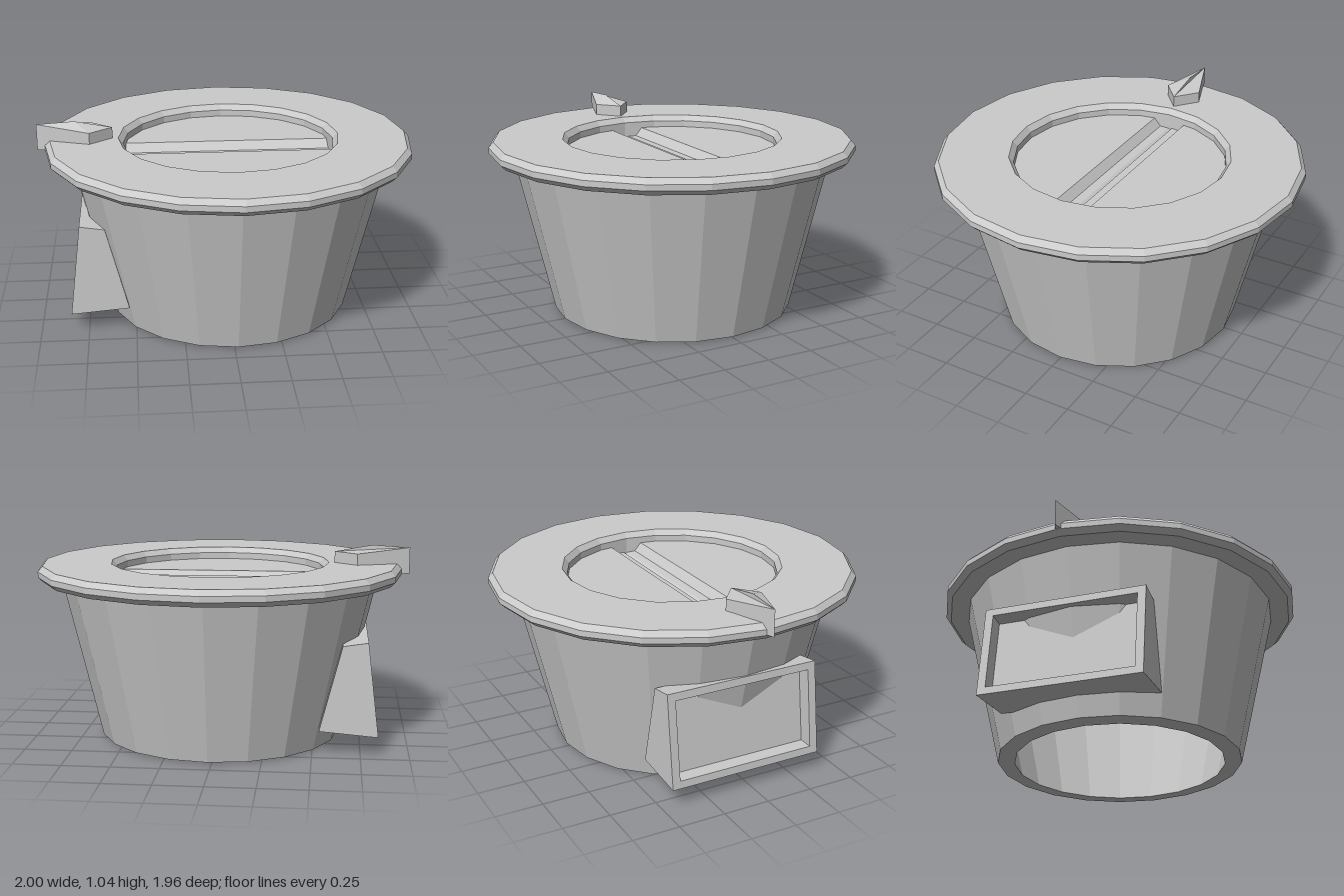
import * as THREE from 'three';

const SIDES = 20;
const CENTRE_X = 0.02;

function material() {
  return new THREE.MeshStandardMaterial({ color: 0xcccccc, flatShading: true });
}

function addMesh(parent, name, geometry) {
  const mesh = new THREE.Mesh(geometry, material());
  mesh.name = name;
  parent.add(mesh);
  return mesh;
}

function lathe(points) {
  return new THREE.LatheGeometry(points.map(([r, y]) => new THREE.Vector2(r, y)), SIDES);
}

function build(positions, index) {
  const geometry = new THREE.BufferGeometry();
  geometry.setAttribute('position', new THREE.Float32BufferAttribute(positions, 3));
  geometry.setIndex(index);
  geometry.computeVertexNormals();
  return geometry;
}

// Joins equal-length loops of corners (anticlockwise seen from the last loop), capping both ends
function loft(loops) {
  const n = loops[0].length;
  const index = [];
  for (let l = 0; l < loops.length - 1; l++) {
    for (let i = 0; i < n; i++) {
      const a = l * n + i, b = l * n + (i + 1) % n;
      index.push(a, b, b + n, a, b + n, a + n);
    }
  }
  const last = (loops.length - 1) * n;
  for (let i = 1; i < n - 1; i++) {
    index.push(0, i + 1, i, last, last + i, last + i + 1);
  }
  return build(loops.flat(2), index);
}

// Round recess floor with a groove running along x
function recessFloor(radius, y) {
  const stations = [];
  for (let k = 0; k <= 4; k++) stations.push([-radius * Math.cos(k * Math.PI / 10), y]);
  const mirrored = stations.map(([z, h]) => [-z, h]).reverse();
  const groove = [
    [-0.1, y], [-0.065, y - 0.045], [-0.02, y - 0.045], [-0.01, y - 0.06],
    [0.005, y - 0.05], [0.05, y - 0.045], [0.085, y],
  ];
  const profile = [...stations, ...groove, ...mirrored];
  const positions = [], index = [];
  profile.forEach(([z, h], i) => {
    const w = Math.sqrt(Math.max(0, radius * radius - z * z));
    positions.push(-w, h, z, w, h, z);
    if (i > 0) {
      const a = 2 * i - 2;
      index.push(a, a + 2, a + 3, a, a + 3, a + 1);
    }
  });
  return build(positions, index);
}

// Box outline from a top edge and a bottom edge, seen from -x
function panelLoop(top, bottom, halfWidth) {
  return [
    [...top, -halfWidth], [...bottom, -halfWidth],
    [...bottom, halfWidth], [...top, halfWidth],
  ];
}

export function createModel() {
  const model = new THREE.Group();
  model.name = 'roundContainer';

  // Tapered hollow body, open at the base
  const body = addMesh(model, 'body', lathe([
    [0, 0.81], [0.752, 0.81], [0.56, 0], [0.65, 0.006], [0.855, 0.87],
  ]));
  body.position.x = CENTRE_X;

  // Bevelled rim, top plate and recess wall
  const lid = new THREE.Group();
  lid.name = 'lid';
  lid.position.x = CENTRE_X;
  model.add(lid);
  addMesh(lid, 'rim', lathe([
    [0.8, 0.855], [0.952, 0.855], [0.98, 0.882], [0.98, 0.912], [0.955, 0.94],
    [0.59, 0.94], [0.565, 0.91], [0.565, 0.815],
  ]));
  addMesh(lid, 'recessFloor', recessFloor(0.565, 0.875));

  // Wedge box on the side with a sunken front panel
  const sidePanel = addMesh(model, 'sidePanel', loft([
    panelLoop([-0.65, 0.575], [-0.535, 0.125], 0.423),
    panelLoop([-0.78, 0.595], [-0.84, 0.1], 0.423),
    panelLoop([-0.785, 0.555], [-0.835, 0.14], 0.38),
    panelLoop([-0.705, 0.545], [-0.755, 0.14], 0.38),
  ]));
  sidePanel.position.z = -0.027;

  // Pointer: diamond block with one raised half
  const outline = [[-1, 0, 1.025], [-0.72, 0.1, 1], [-0.6, 0, 1], [-0.72, -0.1, 1]];
  const pointer = [];
  for (const [x, z] of outline) pointer.push(x, 0.885, z);
  for (const [x, z, y] of outline) pointer.push(x, y, z);
  pointer.push(-0.8, 1.037, 0);
  const faces = [0, 2, 1, 0, 3, 2, 4, 5, 8, 5, 6, 8, 4, 6, 7, 4, 8, 6];
  for (let i = 0; i < 4; i++) {
    const j = (i + 1) % 4;
    faces.push(i, j, j + 4, i, j + 4, i + 4);
  }
  addMesh(model, 'pointer', build(pointer, faces));

  return model;
}
